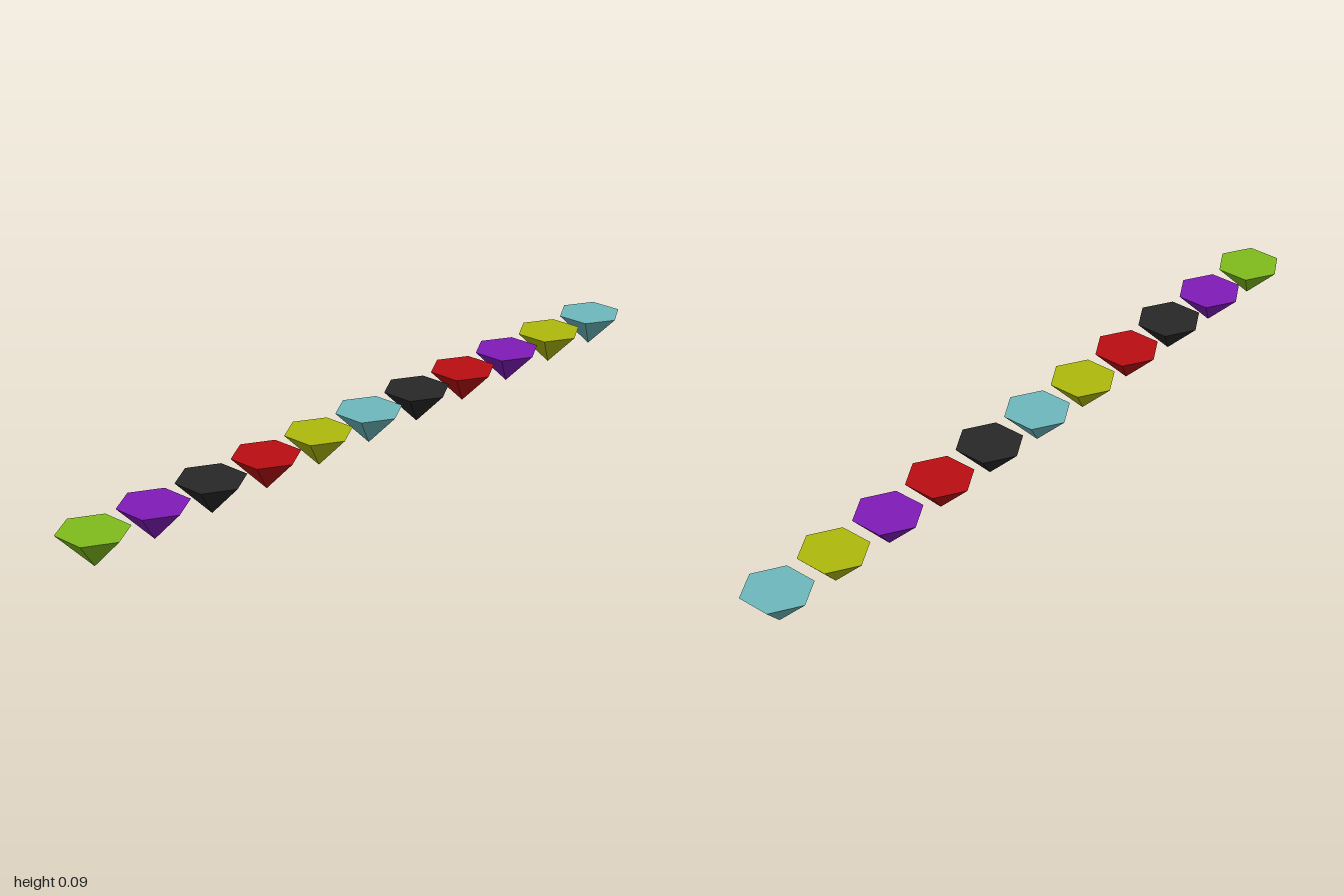
import * as THREE from 'three';

export function createModel() {
  const group = new THREE.Group();
  group.name = 'gemRow';

  const colors = { green: 0x7fbc1c, purple: 0x801cb8, black: 0x282828, red: 0xba0e12, yellow: 0xaeba0c, cyan: 0x6cb8bc };
  const order = ['green', 'purple', 'black', 'red', 'yellow', 'cyan', 'black', 'red', 'purple', 'yellow', 'cyan'];

  // Six-sided gem: flat hexagonal top tapering to a point at the bottom
  const radius = 0.0883, height = 0.09;
  const halfWidth = radius * Math.cos(Math.PI / 6);
  const gemGeometry = new THREE.ConeGeometry(radius, height, 6);
  gemGeometry.rotateX(Math.PI);
  gemGeometry.translate(0, height / 2, 0);

  // One shared material per colour
  const materials = {};
  for (const name in colors) {
    materials[name] = new THREE.MeshStandardMaterial({ color: colors[name], flatShading: true });
  }

  // Evenly spaced row along x
  const first = -1 + halfWidth;
  const step = (2 - 2 * halfWidth) / (order.length - 1);
  order.forEach((name, i) => {
    const gem = new THREE.Mesh(gemGeometry, materials[name]);
    gem.name = `${name}Gem${i + 1}`;
    gem.position.x = first + i * step;
    group.add(gem);
  });

  return group;
}
